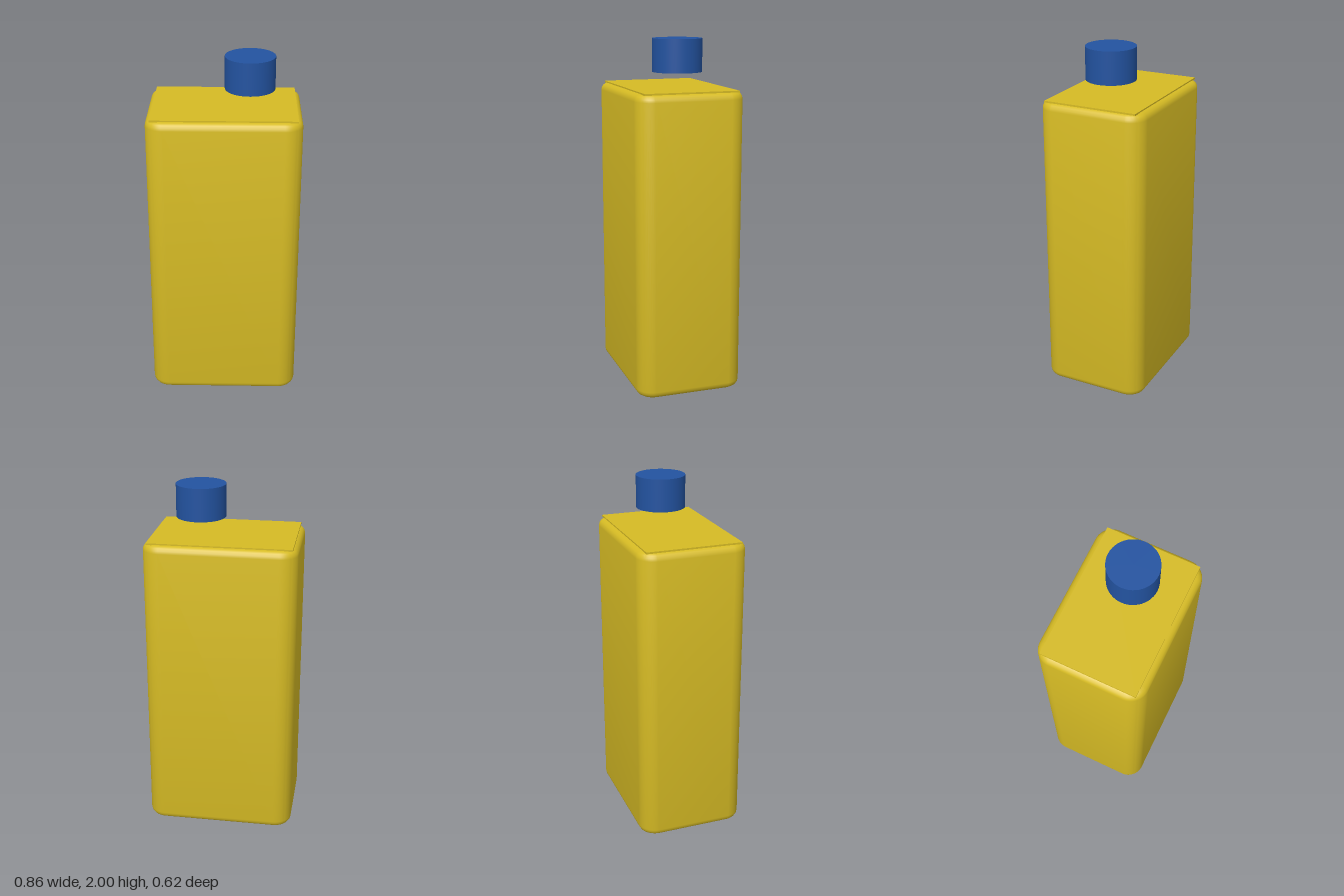
import * as THREE from 'three';
import { toCreasedNormals } from 'three/addons/utils/BufferGeometryUtils.js';

const W = 0.855, D = 0.62, H = 1.718; // body size
const BEVEL = 0.04, CORNER = 0.1;

// Rectangle with rounded corners, centred on the origin
function roundedRect(w, h, r) {
  const s = new THREE.Shape();
  const x = w / 2 - r, y = h / 2 - r;
  s.absarc(x, y, r, 0, Math.PI / 2);
  s.absarc(-x, y, r, Math.PI / 2, Math.PI);
  s.absarc(-x, -y, r, Math.PI, Math.PI * 1.5);
  s.absarc(x, -y, r, Math.PI * 1.5, Math.PI * 2);
  return s;
}

export function createModel() {
  const yellow = new THREE.MeshStandardMaterial({ color: 0xd6bb24 });
  yellow.name = 'yellow';
  const blue = new THREE.MeshStandardMaterial({ color: 0x2353a0 });
  blue.name = 'blue';

  const group = new THREE.Group();
  group.name = 'bottle';
  const add = (name, geometry, material, x, y, z) => {
    const mesh = new THREE.Mesh(geometry, material);
    mesh.name = name;
    mesh.position.set(x, y, z);
    group.add(mesh);
  };

  // Tall body with rounded vertical corners and softened top and bottom edges
  const bodyGeo = new THREE.ExtrudeGeometry(
    roundedRect(W - 2 * BEVEL, D - 2 * BEVEL, CORNER - BEVEL),
    {
      depth: H - 2 * BEVEL, curveSegments: 8,
      bevelEnabled: true, bevelSize: BEVEL, bevelThickness: BEVEL, bevelSegments: 4,
    },
  );
  bodyGeo.rotateX(-Math.PI / 2);
  add('body', toCreasedNormals(bodyGeo, 0.6), yellow, 0, BEVEL, 0);

  // Thin square-cornered plate on top
  add('topPlate', new THREE.BoxGeometry(0.8, 0.01, 0.545), yellow, 0, 1.72, 0);

  // Cap hovering above the shoulder, off to one side
  add('cap', new THREE.CylinderGeometry(0.14, 0.14, 0.185, 48), blue, 0.14, 1.9075, 0);

  return group;
}
